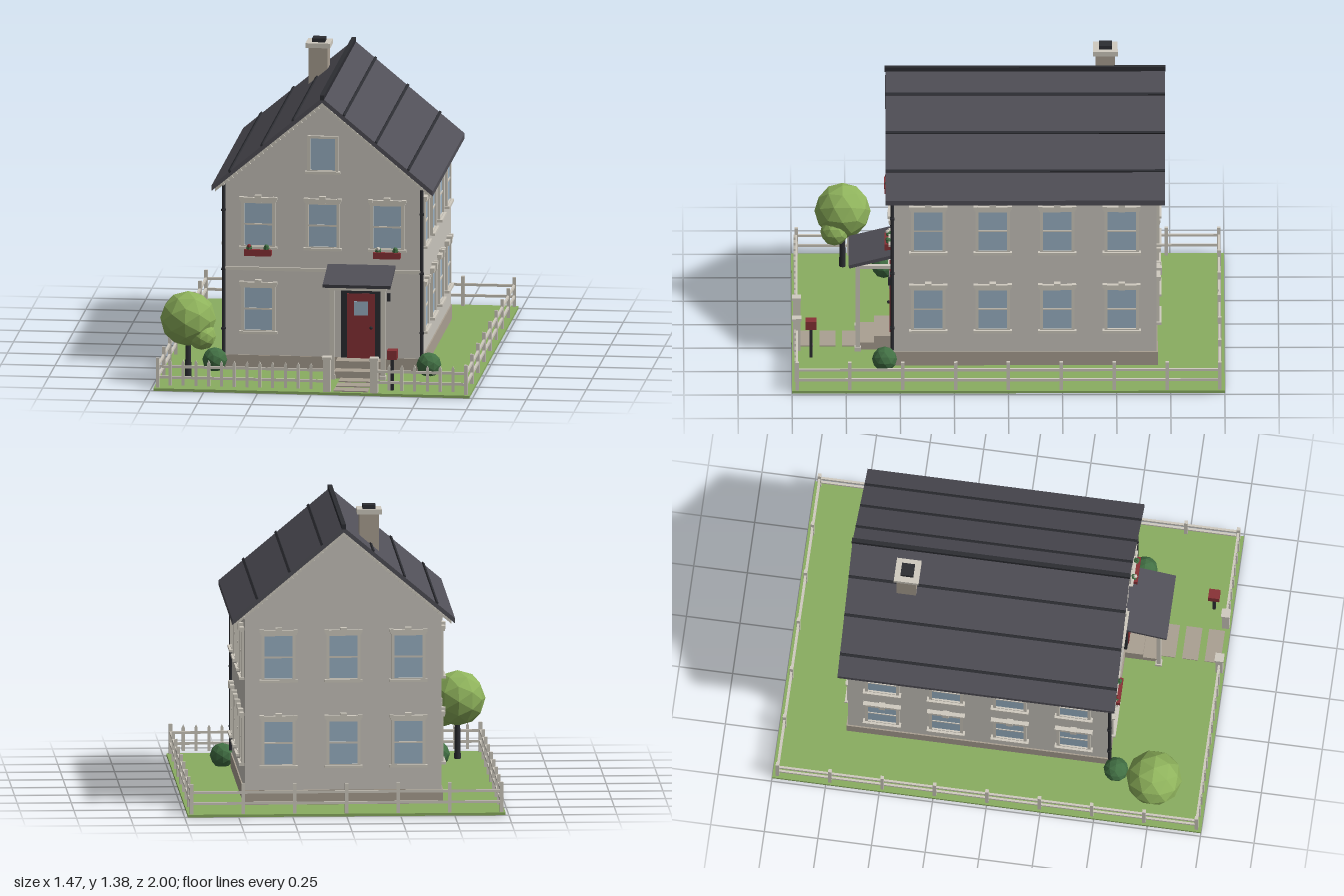
import * as THREE from 'three';

const mat = (name, color, flatShading = false) => {
  const m = new THREE.MeshStandardMaterial({ color, flatShading });
  m.name = name;
  return m;
};

export function createModel() {
  const grass = mat('grass', 0x8aad60), wall = mat('wall', 0xcac6be), trim = mat('trim', 0xd0cbc0);
  const slate = mat('slate', 0x504f57), dark = mat('dark iron', 0x2c2d32), stone = mat('stone', 0xaaa092);
  const glass = mat('glass', 0x9bb3c6), red = mat('red paint', 0x883236);
  const leaf = mat('tree leaf', 0x8fb35c, true), shrub = mat('shrub leaf', 0x427044, true);
  const root = new THREE.Group();
  root.name = 'house';

  const group = (name, parent = root) => {
    const g = new THREE.Group();
    g.name = name;
    parent.add(g);
    return g;
  };
  const add = (parent, name, geo, m, x = 0, y = 0, z = 0) => {
    const mesh = new THREE.Mesh(geo, m);
    mesh.name = name;
    mesh.position.set(x, y, z);
    parent.add(mesh);
    return mesh;
  };
  // Box from its centre x, bottom y and centre z
  const box = (parent, name, m, w, h, d, x, y, z) =>
    add(parent, name, new THREE.BoxGeometry(w, h, d), m, x, y + h / 2, z);
  const prism = (parent, name, m, pts, z0, z1) => {
    const shape = new THREE.Shape(pts.map(p => new THREE.Vector2(...p)));
    return add(parent, name, new THREE.ExtrudeGeometry(shape, { depth: z1 - z0, bevelEnabled: false }), m, 0, 0, z0);
  };
  const ball = (parent, name, m, r, x, y, z, detail = 1) =>
    add(parent, name, new THREE.IcosahedronGeometry(r, detail), m, x, y, z);

  const G = 0.012, FRONT = 0.53, BACK = -0.685, SIDE = 0.455, MID = (FRONT + BACK) / 2;
  const SLOPE = 0.833, APEX = 1.31, ANGLE = Math.atan(SLOPE);
  const roofY = x => APEX - SLOPE * Math.abs(x);

  // Lawn, foundation and gabled walls
  box(root, 'lawn', grass, 1.47, G, 2, 0, 0, 0);
  box(root, 'foundation', stone, 0.922, 0.068, FRONT - BACK + 0.012, 0, G, MID);
  const wallTop = roofY(SIDE) - 0.023;
  prism(root, 'walls', wall, [[-SIDE, 0.07], [SIDE, 0.07], [SIDE, wallTop], [0, APEX - 0.023], [-SIDE, wallTop]], BACK, FRONT);
  box(root, 'frontBand', trim, 0.91, 0.016, 0.014, 0, 0.481, FRONT + 0.004);

  // Roof slopes with seams, ridge cap, barge boards and dentils
  const R0 = -0.725, R1 = 0.567, RMID = (R0 + R1) / 2;
  const roof = group('roof');
  for (const s of [-1, 1]) {
    const e = 0.515 * s;
    const section = [[0, APEX - 0.024], [e, roofY(e) - 0.024], [e, roofY(e)], [0, APEX]];
    prism(roof, 'roofSlope', slate, s > 0 ? section : section.reverse(), R0, R1);
    for (const x of s > 0 ? [0.1, 0.25, 0.4] : [0.135, 0.28, 0.43]) {
      const seam = box(roof, 'roofSeam', dark, 0.012, 0.012, R1 - R0, s * x, roofY(x) - 0.005, RMID);
      seam.rotation.z = -s * ANGLE;
    }
    for (const [z0, z1, dz] of [[FRONT - 0.005, FRONT + 0.018, FRONT + 0.02], [BACK - 0.018, BACK + 0.005, BACK - 0.02]]) {
      const b = 0.5 * s, top = 0.023, low = 0.042;
      const board = [[0, APEX - low], [b, roofY(b) - low], [b, roofY(b) - top], [0, APEX - top]];
      prism(roof, 'bargeBoard', trim, s > 0 ? board : board.reverse(), z0, z1);
      for (let i = 1; i < 24; i++) {
        const x = i * 0.02;
        const d = box(roof, 'dentil', trim, 0.009, 0.012, 0.012, s * x, roofY(x) - 0.044, dz);
        d.rotation.z = -s * ANGLE;
      }
    }
  }
  box(roof, 'ridgeCap', dark, 0.02, 0.024, R1 - R0 + 0.006, 0, 1.299, RMID);

  // Chimney
  const chimney = group('chimney');
  box(chimney, 'stack', stone, 0.09, 0.24, 0.09, -0.13, 1.1, -0.45);
  box(chimney, 'cap', trim, 0.115, 0.022, 0.115, -0.13, 1.338, -0.45);
  box(chimney, 'flue', dark, 0.06, 0.018, 0.06, -0.13, 1.36, -0.45);

  // Window facing +z with its pane centred at the group's origin
  const addWindow = (x, y, z, turn, w = 0.132, h = 0.205, plain = false) => {
    const g = group('window');
    g.position.set(x, y, z);
    g.rotation.y = turn;
    box(g, 'pane', glass, w, h, 0.006, 0, -h / 2, 0.002);
    for (const s of [-1, 1]) {
      box(g, 'jamb', trim, 0.014, h + 0.02, 0.014, s * (w / 2 + 0.006), -h / 2 - 0.01, 0.006);
      box(g, 'rail', trim, w, 0.012, 0.014, 0, s * (h / 2 + 0.003) - 0.006, 0.006);
    }
    box(g, 'sill', trim, w + 0.045, 0.012, 0.026, 0, -h / 2 - 0.014, 0.011);
    if (plain) return;
    box(g, 'meetingRail', trim, w, 0.008, 0.008, 0, -0.004, 0.005);
    box(g, 'lintel', trim, w + 0.035, 0.02, 0.02, 0, h / 2 + 0.004, 0.009);
    for (const s of [-1, 1]) box(g, 'lintelEnd', trim, 0.02, 0.014, 0.022, s * (w / 2 + 0.012), h / 2 + 0.013, 0.01);
    box(g, 'keystone', trim, 0.03, 0.034, 0.026, 0, h / 2 + 0.002, 0.012);
  };
  for (const y of [0.3, 0.7]) {
    for (const x of [-0.3, 0, 0.3]) {
      addWindow(x, y, BACK, Math.PI);
      if (y > 0.5 || x < 0) addWindow(x, y, FRONT, 0);
    }
    for (const z of [0.37, 0.072, -0.226, -0.524])
      for (const s of [-1, 1]) addWindow(s * SIDE, y, z, s * Math.PI / 2);
  }
  addWindow(0, 1.037, FRONT, 0, 0.118, 0.155, true);

  // Flower boxes
  for (const s of [-1, 1]) {
    const g = group('flowerBox');
    box(g, 'planter', red, 0.125, 0.03, 0.04, s * 0.3, 0.555, FRONT + 0.021);
    for (const [x, bloom] of [[-0.04, s < 0 ? red : trim], [0.04, shrub]]) {
      ball(g, 'foliage', shrub, 0.017, s * 0.3 + x, 0.59, FRONT + 0.021, 0);
      ball(g, 'bloom', bloom, 0.011, s * 0.3 + x, 0.6, FRONT + 0.028, 0);
    }
  }

  // Downspouts at the front corners
  for (const s of [-1, 1]) {
    const g = group('downspout');
    add(g, 'pipe', new THREE.CylinderGeometry(0.008, 0.008, 0.8, 8), dark, s * 0.461, 0.49, FRONT + 0.007);
    for (const y of [0.2, 0.48, 0.76]) box(g, 'bracket', dark, 0.02, 0.008, 0.02, s * 0.461, y, FRONT + 0.006);
  }

  // Front door, lantern and steps
  const DX = 0.18;
  const door = group('frontDoor');
  box(door, 'doorFrame', dark, 0.19, 0.335, 0.016, DX, 0.08, FRONT + 0.006);
  box(door, 'doorLeaf', red, 0.13, 0.305, 0.014, DX, 0.08, FRONT + 0.011);
  box(door, 'doorPane', glass, 0.064, 0.066, 0.005, DX, 0.283, FRONT + 0.018);
  ball(door, 'knob', dark, 0.008, DX + 0.047, 0.225, FRONT + 0.022);
  box(door, 'lantern', dark, 0.016, 0.036, 0.022, 0.308, 0.352, FRONT + 0.014);
  box(door, 'upperStep', stone, 0.22, 0.068, 0.09, DX, G, FRONT + 0.045);
  box(door, 'lowerStep', stone, 0.22, 0.034, 0.16, DX, G, FRONT + 0.08);

  // Porch canopy on two posts
  const porch = group('porch');
  const canopy = box(porch, 'canopy', slate, 0.315, 0.016, 0.215, DX, 0.476, 0.632);
  canopy.rotation.x = Math.atan(0.26);
  box(porch, 'frontBeam', trim, 0.27, 0.016, 0.022, DX, 0.432, 0.695);
  for (const s of [-1, 1]) {
    const x = DX + s * 0.118;
    box(porch, 'sideBeam', trim, 0.02, 0.016, 0.165, x, 0.432, 0.612);
    box(porch, 'post', trim, 0.02, 0.425, 0.02, x, G, 0.695);
    box(porch, 'postBase', trim, 0.03, 0.02, 0.03, x, G, 0.695);
  }

  // Stepping stones
  for (const z of [0.94, 0.835, 0.73])
    box(root, 'pathSlab', stone, 0.16, 0.006, 0.074, DX, G - 0.001, z);

  // Fences: rails and posts on three sides, pickets and gate posts in front
  const fence = group('fence');
  const FX = 0.717, FZ = 0.977;
  const post = (x, z) => box(fence, 'fencePost', trim, 0.016, 0.14, 0.016, x, G, z);
  for (const s of [-1, 1]) for (let i = 0; i <= 8; i++) post(s * FX, FZ - i * FZ / 4);
  for (let i = 1; i < 6; i++) post(-FX + i * FX / 3, -FZ);
  for (const y of [0.055, 0.106]) {
    for (const s of [-1, 1]) box(fence, 'sideRail', trim, 0.01, 0.012, 2 * FZ, s * FX, y, 0);
    box(fence, 'backRail', trim, 2 * FX, 0.012, 0.01, 0, y, -FZ);
    for (const [a, b] of [[-FX, 0.06], [0.3, FX]])
      box(fence, 'frontRail', trim, b - a, 0.012, 0.01, (a + b) / 2, y, FZ);
  }
  const picket = x => prism(fence, 'picket', trim,
    [[x - 0.007, 0.025], [x + 0.007, 0.025], [x + 0.007, 0.133], [x, 0.147], [x - 0.007, 0.133]], FZ + 0.004, FZ + 0.012);
  for (let i = 1; i < 13; i++) picket(-FX + i * 0.0595);
  for (let i = 1; i < 7; i++) picket(FX - i * 0.0595);
  for (const x of [0.07, 0.29]) {
    box(fence, 'gatePost', trim, 0.034, 0.155, 0.034, x, G, FZ);
    box(fence, 'gatePostCap', trim, 0.042, 0.012, 0.042, x, 0.165, FZ);
  }

  // Mailbox
  const mailbox = group('mailbox');
  box(mailbox, 'mailPost', dark, 0.014, 0.15, 0.014, 0.367, G, 0.912);
  box(mailbox, 'mailBody', red, 0.046, 0.042, 0.052, 0.367, 0.16, 0.912);

  // Tree and shrubs
  const tree = group('tree');
  add(tree, 'trunk', new THREE.CylinderGeometry(0.012, 0.016, 0.2, 7), dark, -0.6, 0.11, 0.763);
  ball(tree, 'crown', leaf, 0.13, -0.6, 0.295, 0.763);
  ball(tree, 'sideCrown', leaf, 0.066, -0.532, 0.222, 0.8);
  for (const s of [-1, 1]) ball(root, 'shrub', shrub, 0.058, s * 0.498, 0.063, 0.572);

  return root;
}
